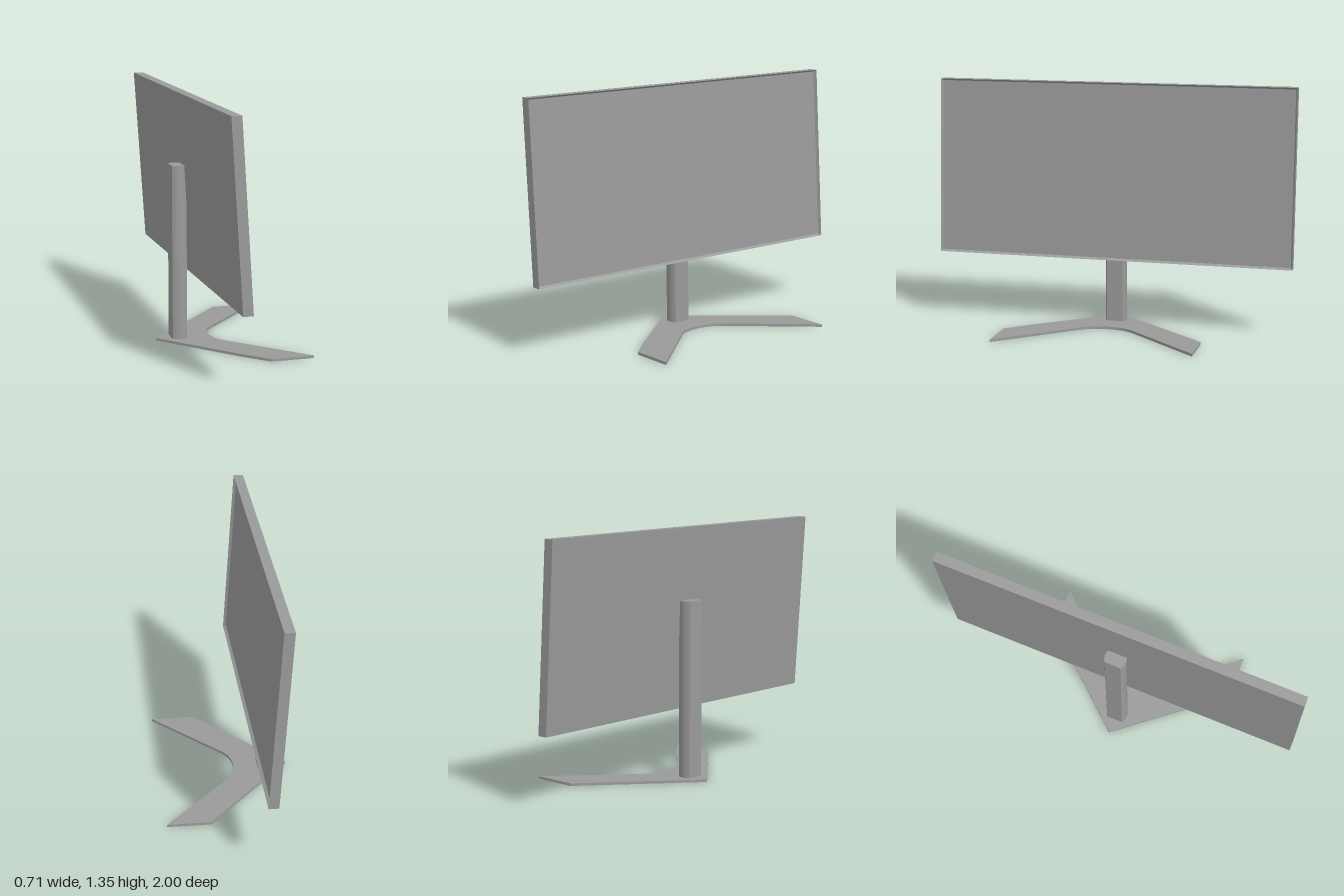
import * as THREE from 'three';
import { toCreasedNormals } from 'three/addons/utils/BufferGeometryUtils.js';

const material = new THREE.MeshStandardMaterial({ color: 0x9a9a9a });

function addMesh(group, name, geometry) {
  const mesh = new THREE.Mesh(geometry, material);
  mesh.name = name;
  group.add(mesh);
}

// Extrudes a plan outline (x, -z) upward from y0 to y1, with smooth curved sides.
function extrudeUp(shape, y0, y1) {
  const geometry = new THREE.ExtrudeGeometry(shape, { depth: y1 - y0, bevelEnabled: false, curveSegments: 12 })
    .rotateX(-Math.PI / 2)
    .translate(0, y0, 0);
  return toCreasedNormals(geometry, 0.3);
}

const BOTTOM = 0.377, TOP = 1.352, BACK = -0.172, LEAN = 0.0625;

// Four corners of an upright rectangle, inset from the screen's outline and leaning back.
function ring(inset, depth) {
  const w = 1 - inset, low = BOTTOM + inset, high = TOP - inset;
  return [[w, low], [-w, low], [-w, high], [w, high]]
    .map(([z, y]) => [BACK + depth - LEAN * (y - BOTTOM), y, z]);
}

// Four quads joining one ring to the next.
function band(a, b) {
  return a.map((corner, i) => [corner, a[(i + 1) % 4], b[(i + 1) % 4], b[i]]);
}

function quadGeometry(quads) {
  const points = quads.flatMap(([a, b, c, d]) => [a, b, c, a, c, d]).flat();
  const geometry = new THREE.BufferGeometry();
  geometry.setAttribute('position', new THREE.Float32BufferAttribute(points, 3));
  geometry.computeVertexNormals();
  return geometry;
}

export function createModel() {
  const model = new THREE.Group();
  model.name = 'monitor';

  // V-shaped foot with a rounded inner corner
  const foot = new THREE.Shape();
  foot.moveTo(-0.357, 0);
  foot.lineTo(0, -0.425);
  foot.lineTo(0.12, -0.552);
  foot.lineTo(0.355, -0.552);
  foot.lineTo(-0.015, -0.143);
  foot.quadraticCurveTo(-0.062, -0.085, -0.062, 0);
  foot.quadraticCurveTo(-0.062, 0.085, -0.015, 0.143);
  foot.lineTo(0.355, 0.552);
  foot.lineTo(0.12, 0.552);
  foot.closePath();
  addMesh(model, 'foot', extrudeUp(foot, 0, 0.014));

  // Column with flat front and back and gently bowed sides
  const column = new THREE.Shape();
  column.moveTo(-0.275, -0.045);
  column.quadraticCurveTo(-0.235, -0.073, -0.195, -0.045);
  column.lineTo(-0.195, 0.045);
  column.quadraticCurveTo(-0.235, 0.073, -0.275, 0.045);
  column.closePath();
  addMesh(model, 'column', extrudeUp(column, 0.01, 0.965));

  // Leaning housing whose thin bezel slopes in to the recessed screen
  const back = ring(0, 0), rim = ring(0, 0.054), recess = ring(0.01, 0.038);
  addMesh(model, 'housing', quadGeometry([[...back].reverse(), ...band(back, rim)]));
  addMesh(model, 'bezel', quadGeometry(band(rim, recess)));
  addMesh(model, 'screenPanel', quadGeometry([recess]));

  return model;
}
